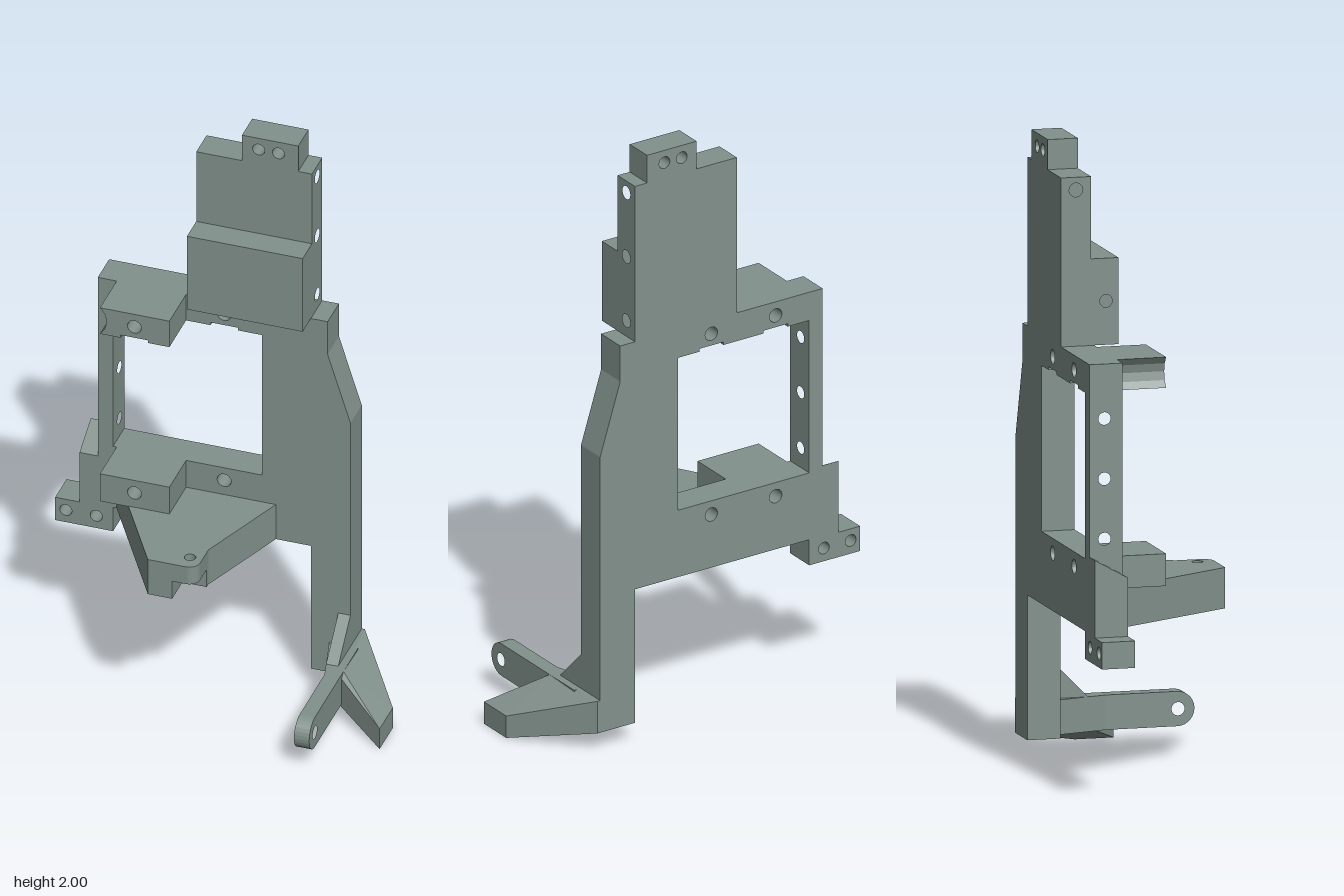
import * as THREE from 'three';
import { ConvexGeometry } from 'three/addons/geometries/ConvexGeometry.js';

const BACK = -0.285, FRONT = -0.178, TOWER_FRONT = -0.188;

export function createModel() {
  const group = new THREE.Group();
  const material = new THREE.MeshStandardMaterial({ color: 0x82918c });
  material.name = 'grey green';

  function add(name, geometry) {
    const mesh = new THREE.Mesh(geometry, material);
    mesh.name = name;
    group.add(mesh);
  }

  // Outline plus round holes given as [x, y, radius]
  function outline(points, holes = []) {
    const shape = new THREE.Shape(points.map(([x, y]) => new THREE.Vector2(x, y)));
    for (const [x, y, r] of holes) {
      shape.holes.push(new THREE.Path().absarc(x, y, r, 0, Math.PI * 2, true));
    }
    return shape;
  }
  function extrude(shape, depth) {
    return new THREE.ExtrudeGeometry(shape, { depth, bevelEnabled: false, curveSegments: 14 });
  }
  // Front profile (x, y) swept through z
  function alongZ(name, points, holes, z0, z1) {
    add(name, extrude(outline(points, holes), z1 - z0).translate(0, 0, z0));
  }
  // Side profile (z, y) swept through x
  function alongX(name, points, holes, x0, x1) {
    const shape = outline(points.map(([z, y]) => [-z, y]), holes.map(([z, y, r]) => [-z, y, r]));
    add(name, extrude(shape, x1 - x0).rotateY(Math.PI / 2).translate(x0, 0, 0));
  }
  // Plan profile (x, z) swept through y
  function alongY(name, points, holes, y0, y1) {
    const shape = outline(points.map(([x, z]) => [x, -z]), holes.map(([x, z, r]) => [x, -z, r]));
    add(name, extrude(shape, y1 - y0).rotateX(-Math.PI / 2).translate(0, y0, 0));
  }
  const rect = (a0, a1, b0, b1) => [[a0, b0], [a1, b0], [a1, b1], [a0, b1]];
  const arc = (cx, cy, r, a0, a1, n) => Array.from({ length: n + 1 }, (_, i) => {
    const a = a0 + (a1 - a0) * i / n;
    return [cx + r * Math.cos(a), cy + r * Math.sin(a)];
  });

  // Main plate with the leg, window edges and lower mounting tab
  const slot = (x0, x1) => [[x0, 1.275], [x0, 1.285], [x1, 1.285], [x1, 1.275]];
  alongZ('mainPlate', [
    [0.26, 0.065], [0.39, 0.065], [0.39, 1.01], [0.315, 1.25], [0.315, 1.372],
    [-0.44, 1.372], [-0.44, 1.275], ...slot(-0.31, -0.22), ...slot(-0.07, 0.02),
    [0.1, 1.275], [0.1, 0.752], [-0.44, 0.752], [-0.44, 0.705], [-0.5, 0.705],
    [-0.5, 0.52], [-0.58, 0.52], [-0.58, 0.435], [-0.39, 0.435], [-0.39, 0.523], [0.26, 0.523],
  ], [
    [-0.265, 1.325, 0.023], [-0.025, 1.325, 0.023], [-0.265, 0.705, 0.023],
    [-0.025, 0.705, 0.023], [-0.545, 0.48, 0.02], [-0.445, 0.48, 0.02],
  ], BACK, FRONT);

  // Side bar closing the window, drilled sideways
  alongX('windowBar', rect(BACK, FRONT, 0.752, 1.275),
    [1.2, 1.01, 0.82].map(y => [-0.237, y, 0.02]), -0.44, -0.39);
  alongX('slopedStep', [[BACK, 0.705], [FRONT, 0.705], [BACK, 0.765]], [], -0.5, -0.44);

  // Tower: core, drilled side cheeks and top tab
  alongZ('towerCore', rect(-0.07, 0.21, 1.372, 1.905), [], BACK, TOWER_FRONT);
  const cheek = rect(BACK, TOWER_FRONT, 1.372, 1.905);
  alongX('towerCheekLeft', cheek, [1.865, 1.645, 1.425].map(y => [-0.237, y, 0.022]), 0.21, 0.26);
  alongX('towerCheekRight', cheek, [[-0.237, 1.865, 0.022]], -0.12, -0.07);
  alongZ('topTab', rect(0.03, 0.215, 1.905, 2),
    [[0.085, 1.958, 0.02], [0.15, 1.958, 0.02]], BACK, TOWER_FRONT);

  // Raised block on the tower front
  const block = rect(TOWER_FRONT, -0.1, 1.372, 1.645);
  alongX('towerBlock', block, [], -0.07, 0.26);
  alongX('towerBlockCheek', block, [[-0.14, 1.51, 0.02]], -0.12, -0.07);

  // Brackets above and below the window
  alongZ('upperBracket', [
    [-0.378, 1.275], ...slot(-0.31, -0.22), [-0.15, 1.275], [-0.15, 1.372], [-0.378, 1.372],
    [-0.362, 1.35], [-0.356, 1.324], [-0.362, 1.297],
  ], [[-0.265, 1.325, 0.023]], FRONT, -0.02);
  alongZ('lowerBracket', rect(-0.378, -0.15, 0.65, 0.752),
    [[-0.265, 0.705, 0.023]], FRONT, -0.02);

  // Tapered shelf with an undercut at its tip
  const shelfBase = [[0.145, FRONT], [-0.378, FRONT], [-0.13, 0.242]];
  alongY('shelfTop', [
    ...shelfBase, ...arc(-0.005, 0.207, 0.035, Math.PI / 2, 0, 6), [0.03, 0.13],
  ], [[-0.01, 0.187, 0.018]], 0.588, 0.652);
  alongY('shelfUnderside', [
    ...shelfBase, [-0.05, 0.242], [-0.05, 0.145], [0.03, 0.145], [0.03, 0.13],
  ], [], 0.523, 0.588);

  // Forward arm with a rounded, drilled end
  alongX('footArm', [
    [FRONT, 0.065], ...arc(0.23, 0.12, 0.055, -Math.PI / 2, Math.PI / 2, 14), [FRONT, 0.175],
  ], [[0.232, 0.12, 0.021]], 0.365, 0.415);
  alongY('armRoot', [[0.32, FRONT], [0.366, FRONT], [0.366, 0]], [], 0.065, 0.175);
  alongX('legGusset', [[FRONT, 0.175], [-0.062, 0.175], [FRONT, 0.292]], [], 0.35, 0.39);

  // Outward flared toe
  const toe = [];
  for (const [x, z, y0, y1] of [
    [0.385, BACK, 0.065, 0.175], [0.4, BACK, 0.065, 0.175], [0.385, -0.04, 0.065, 0.175],
    [0.415, -0.04, 0.065, 0.175], [0.577, -0.04, 0, 0.075], [0.577, 0.085, 0, 0.075],
  ]) toe.push(new THREE.Vector3(x, y0, z), new THREE.Vector3(x, y1, z));
  add('flaredToe', new ConvexGeometry(toe));

  return group;
}
